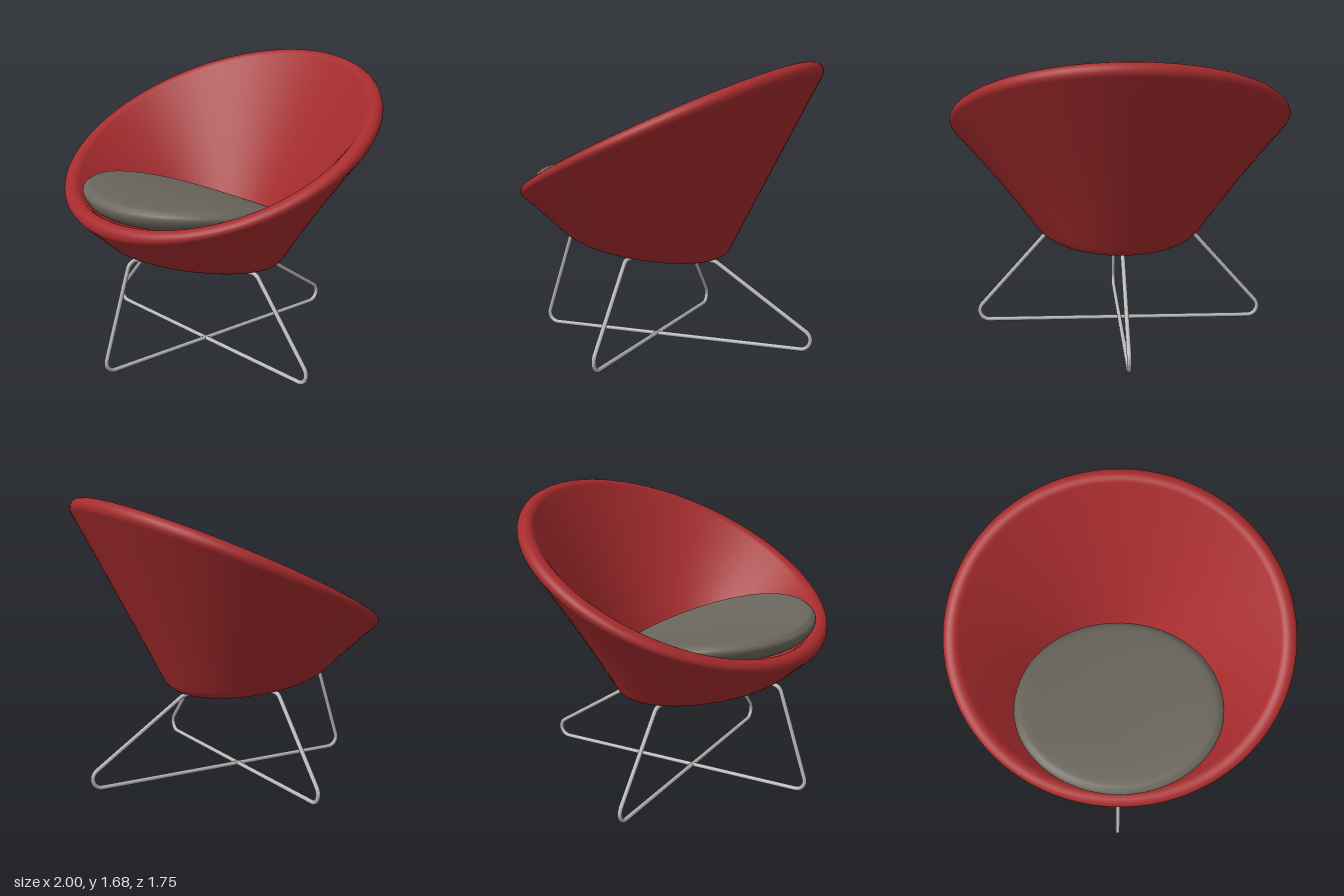
import * as THREE from 'three';

const V = (x, y, z) => new THREE.Vector3(x, y, z);
const mat = (name, color) => {
  const m = new THREE.MeshStandardMaterial({ color });
  m.name = name;
  return m;
};

// Closed path through the corners, each rounded with an arc of radius r
function roundedLoop(corners, r) {
  const pts = [], n = corners.length;
  corners.forEach((c, i) => {
    const a = corners[(i + n - 1) % n].clone().sub(c).normalize();
    const b = corners[(i + 1) % n].clone().sub(c).normalize();
    const half = a.angleTo(b) / 2;
    const mid = c.clone().addScaledVector(a.clone().add(b).normalize(), r / Math.sin(half));
    const from = c.clone().addScaledVector(a, r / Math.tan(half)).sub(mid);
    const to = c.clone().addScaledVector(b, r / Math.tan(half)).sub(mid);
    const axis = from.clone().cross(to).normalize(), sweep = from.angleTo(to);
    for (let k = 0; k <= 10; k++) {
      pts.push(from.clone().applyAxisAngle(axis, sweep * k / 10).add(mid));
    }
  });
  const path = new THREE.CurvePath();
  pts.forEach((p, i) => path.add(new THREE.LineCurve3(p, pts[(i + 1) % pts.length])));
  return path;
}

const TILT = 0.157; // slope of the bowl's underside

// Section of the padded bowl at angle t: underside, wall, rolled rim, inside, floor
function bowlSection(t) {
  const T = 0.05, R0 = 0.48;
  const s = Math.sin(t), c = Math.cos(t);
  const floorMid = V(0, 0.575, 0.17);
  const out = V(s, TILT * c, c);
  const edge = floorMid.clone().addScaledVector(out, R0);
  const rim = V(0.95 * s, 1.25 - 0.38 * c, 0.0025 + 0.8225 * c);
  const u = rim.clone().sub(edge).normalize();
  const n = V(s, 0, c);
  n.addScaledVector(u, -n.dot(u)).normalize();

  const pts = [];
  const line = (a, b, k) => { for (let i = 0; i < k; i++) pts.push(a.clone().lerp(b, i / k)); };
  const bend = (a, b, c2, k) => pts.push(...new THREE.QuadraticBezierCurve3(a, b, c2).getPoints(k));

  // outside
  const outerTop = rim.clone().addScaledVector(n, T);
  const a = edge.clone().addScaledVector(out, -0.07);
  const b = edge.clone().addScaledVector(outerTop.clone().sub(edge).normalize(), 0.07);
  line(floorMid, a, 4);
  bend(a, edge, b, 8);
  pts.push(b.clone().lerp(outerTop, 0.05));
  line(b.clone().lerp(outerTop, 0.2), outerTop, 6);
  // rolled rim
  for (let i = 0; i <= 12; i++) {
    const q = Math.PI * i / 12;
    pts.push(rim.clone().addScaledVector(n, T * Math.cos(q)).addScaledVector(u, T * Math.sin(q)));
  }
  // inside
  const innerTop = rim.clone().addScaledVector(n, -T);
  const innerMid = floorMid.clone().add(V(0, 0.09, 0));
  const innerEdge = innerMid.clone().addScaledVector(out, 0.42);
  const d = innerEdge.clone().lerp(innerTop, 0.15);
  const e = innerEdge.clone().addScaledVector(out, -0.08);
  line(innerTop.clone().lerp(d, 0.1), d, 6);
  bend(d, innerEdge, e, 6);
  line(e.clone().lerp(innerMid, 0.1), innerMid, 3);
  pts.push(innerMid);
  return pts;
}

function bowlGeometry() {
  const N = 96, pos = [], idx = [];
  let m = 0;
  for (let i = 0; i < N; i++) {
    const sec = bowlSection(i / N * Math.PI * 2);
    m = sec.length;
    sec.forEach(p => pos.push(p.x, p.y, p.z));
  }
  for (let i = 0; i < N; i++) {
    const p = i * m, q = ((i + 1) % N) * m;
    for (let j = 0; j < m - 1; j++) {
      idx.push(p + j, q + j, p + j + 1, q + j, q + j + 1, p + j + 1);
    }
  }
  const g = new THREE.BufferGeometry();
  g.setAttribute('position', new THREE.Float32BufferAttribute(pos, 3));
  g.setIndex(idx);
  g.computeVertexNormals();
  return g;
}

// Round pad with a flattened front, tilted back and sagging to follow the bowl
function cushionGeometry() {
  const profile = new THREE.SplineCurve([
    [0, -0.09], [0.3, -0.085], [0.5, -0.07], [0.58, -0.045], [0.61, 0],
    [0.59, 0.035], [0.53, 0.06], [0.3, 0.082], [0, 0.09],
  ].map(([x, y]) => new THREE.Vector2(x, y))).getPoints(40);
  profile[0].x = profile[40].x = 0;
  const g = new THREE.LatheGeometry(profile, 72);
  const p = g.attributes.position, nr = g.attributes.normal, v = V(0, 0, 0);
  for (let i = 0; i < p.count; i++) {
    const x = p.getX(i), k = p.getZ(i) > 0 ? 0.855 : 1, z = p.getZ(i) * k;
    p.setXYZ(i, x, p.getY(i) + 0.88 + 0.2 * z + 0.2 * x * x, z + 0.31);
    // Normals follow the same rule
    const ny = nr.getY(i);
    v.set(nr.getX(i) - 0.4 * x * ny, ny, nr.getZ(i) / k - 0.2 * ny).normalize();
    nr.setXYZ(i, v.x, v.y, v.z);
  }
  return g;
}

export function createModel() {
  const red = mat('red upholstery', 0xa62b2d);
  const grey = mat('grey cushion fabric', 0x6b675e);
  const steel = mat('brushed steel', 0xbababa);
  const model = new THREE.Group();
  model.name = 'bowlChair';
  const add = (name, geo, m, parent = model) => {
    const mesh = new THREE.Mesh(geo, m);
    mesh.name = name;
    parent.add(mesh);
    return mesh;
  };

  add('bowlShell', bowlGeometry(), red);
  add('seatCushion', cushionGeometry(), grey);

  // Thin round cover under the bowl
  const cover = add('undersideCover', new THREE.CylinderGeometry(0.22, 0.22, 0.009, 48), red);
  cover.position.set(0, 0.566, 0.11);
  cover.rotation.x = -Math.atan(TILT);

  // Two crossing wire loops
  const frame = new THREE.Group();
  frame.name = 'wireFrame';
  model.add(frame);
  const r = 0.013;
  const loops = {
    lengthwiseLoop: [V(0, r, 0.875), V(0, 0.652, 0.672), V(0, 0.49, -0.275), V(0, r, -0.995)],
    crosswiseLoop: [V(0.935, r, 0.11), V(0.45, 0.555, 0.11), V(-0.45, 0.555, 0.11), V(-0.935, r, 0.11)],
  };
  for (const [name, corners] of Object.entries(loops)) {
    add(name, new THREE.TubeGeometry(roundedLoop(corners, 0.058), 420, r, 10, true), steel, frame);
    // Small sleeves where the top rail meets the shell, either side of the crossing
    const [, a, b] = corners;
    const dir = b.clone().sub(a).normalize();
    const crossing = a.clone().lerp(b, name === 'crosswiseLoop' ? 0.5 : 0.593);
    for (const side of [-1, 1]) {
      const sleeve = add('mountSleeve', new THREE.CylinderGeometry(0.016, 0.016, 0.025, 12), steel, frame);
      sleeve.position.copy(crossing).addScaledVector(dir, side * 0.225);
      sleeve.quaternion.setFromUnitVectors(V(0, 1, 0), dir);
    }
  }
  return model;
}
